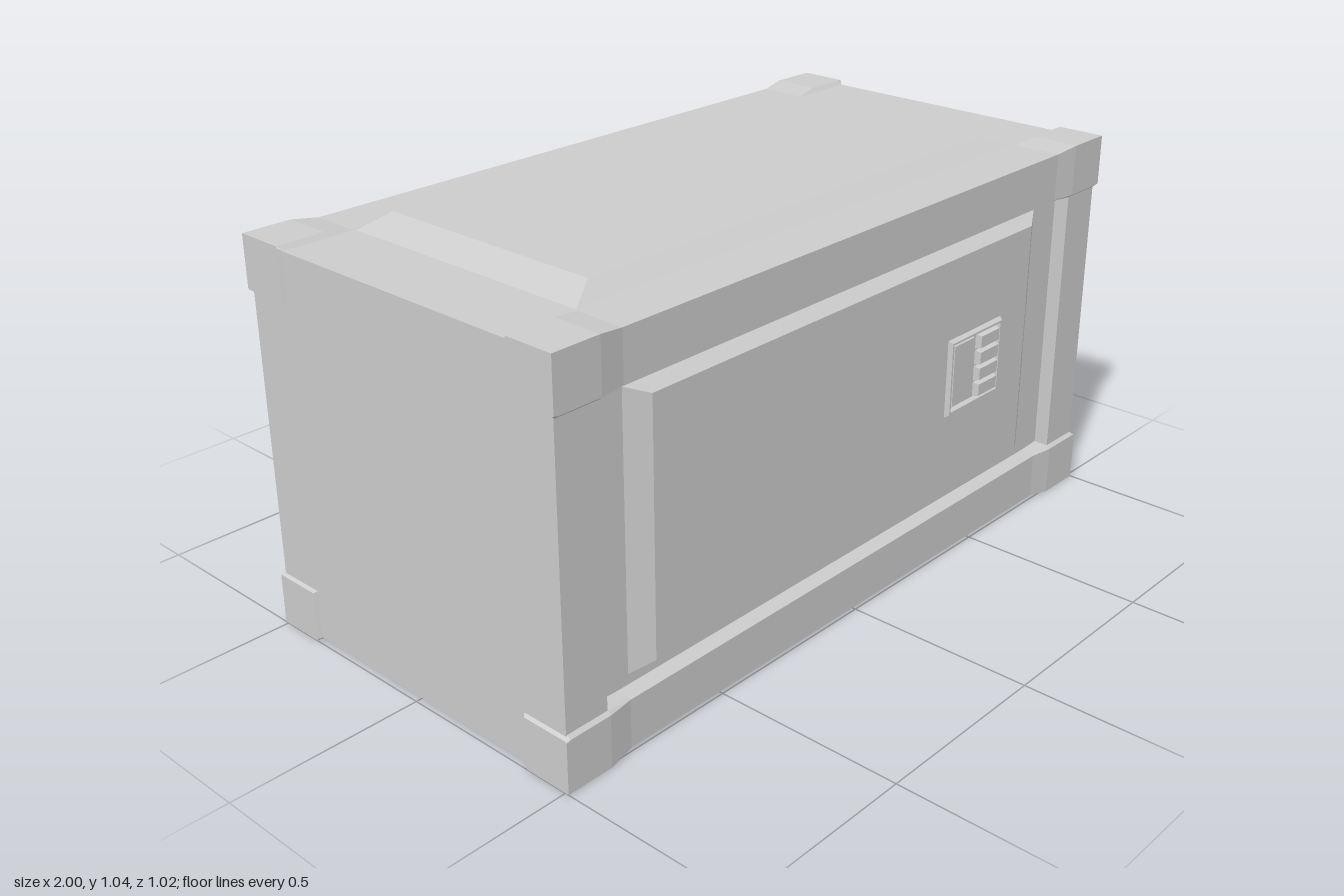
import * as THREE from 'three';

const grey = new THREE.MeshStandardMaterial({ color: 0xcccccc });
grey.name = 'grey metal';

// Skin a list of matching rings (counter-clockwise seen from the last ring) and cap both ends
function loft(rings) {
  const pos = [];
  const tri = (a, b, c) => pos.push(...a, ...b, ...c);
  const n = rings[0].length;
  for (let s = 0; s + 1 < rings.length; s++) {
    const a = rings[s], b = rings[s + 1];
    for (let i = 0; i < n; i++) {
      const j = (i + 1) % n;
      tri(a[i], a[j], b[j]);
      tri(a[i], b[j], b[i]);
    }
  }
  const first = rings[0], last = rings[rings.length - 1];
  for (let i = 1; i + 1 < n; i++) {
    tri(first[0], first[i + 1], first[i]);
    tri(last[0], last[i], last[i + 1]);
  }
  const g = new THREE.BufferGeometry();
  g.setAttribute('position', new THREE.Float32BufferAttribute(pos, 3));
  g.computeVertexNormals();
  return g;
}

// Rectangle ring in the xy plane
const rect = (x0, x1, y0, y1, z) => [[x0, y0, z], [x1, y0, z], [x1, y1, z], [x0, y1, z]];

// Rail profiles as [z, y]: end face, corner block and slimmer middle
const END = [[.51, 1.02], [.38, 1.02], [.377, 1.015], [.377, .885], [.505, .885], [.51, .888]];
const BLOCK = [[.51, 1.02], [.38, 1.02], [.367, 1.008], [.367, .877], [.5, .877], [.51, .885]];
const MIDDLE = [[.5, 1.01], [.37, 1.01], [.365, 1.005], [.365, .88], [.49, .88], [.5, .885]];

function railGeometry(top, sz) {
  const stations = [[-1, END], [-.988, BLOCK], [-.87, BLOCK], [-.8, MIDDLE],
    [.8, MIDDLE], [.87, BLOCK], [.988, BLOCK], [1, END]];
  return loft(stations.map(([x, profile]) => {
    const ring = profile.map(([z, y]) => [x, top ? y : 1.02 - y, z * sz]);
    return top === (sz > 0) ? ring.reverse() : ring;
  }));
}

export function createModel() {
  const model = new THREE.Group();
  model.name = 'container';
  const add = (name, geometry, parent = model) => {
    const m = new THREE.Mesh(geometry, grey);
    m.name = name;
    parent.add(m);
    return m;
  };
  const box = (name, x0, x1, y0, y1, z0, z1, parent) => {
    const m = add(name, new THREE.BoxGeometry(x1 - x0, y1 - y0, z1 - z0), parent);
    m.position.set((x0 + x1) / 2, (y0 + y1) / 2, (z0 + z1) / 2);
  };

  // Body with recessed long walls
  box('body', -.992, .992, .011, 1.009, -.46, .46);

  // Long edge rails with corner blocks, and upright posts
  for (const sz of [1, -1]) {
    const side = sz > 0 ? 'front' : 'back';
    add(side + 'TopRail', railGeometry(true, sz));
    add(side + 'BottomRail', railGeometry(false, sz));
    for (const sx of [1, -1]) {
      const x = [.87 * sx, .992 * sx].sort((a, b) => a - b);
      const z = [.46 * sz, .5 * sz].sort((a, b) => a - b);
      box(side + (sx > 0 ? 'Left' : 'Right') + 'Post', ...x, .12, .9, ...z);
    }
  }

  // Raised panel on the front wall
  add('frontPanel', loft([rect(-.77, .77, .165, .86, .458), rect(-.71, .71, .19, .835, .492)]));

  // Raised roof panel, drawn flat and then laid down
  const roof = loft([rect(-.8, .8, -.365, .365, 1.007), rect(-.71, .71, -.31, .335, 1.04)]);
  roof.rotateX(-Math.PI / 2);
  add('roofPanel', roof);

  // Control panel: bevelled frame, screen and four buttons
  const controls = new THREE.Group();
  controls.name = 'controlPanel';
  model.add(controls);
  const frame = (i, z) => rect(.355 + i, .59 - i, .405 + i, .62 - i, z);
  const bars = [[], [], [], []];
  [[0, .49], [.008, .503], [.014, .503], [.02, .493]].forEach(([i, z]) => {
    const o = frame(i, z);
    for (let k = 0; k < 4; k++) bars[k].push([o[k], o[(k + 1) % 4]]);
  });
  for (const b of bars) {
    // Each mitred bar runs between its two corner profiles
    add('frameBar', loft([b.map((p) => p[0]).reverse(), b.map((p) => p[1]).reverse()].reverse()
      .map((ring) => ring.reverse())), controls);
  }
  add('screen', loft([rect(.375, .468, .427, .602, .491), rect(.379, .464, .431, .598, .499)]), controls);
  for (let i = 0; i < 4; i++) {
    const y = .425 + i * .045;
    add('button', loft([rect(.48, .57, y, y + .04, .491), rect(.485, .565, y + .004, y + .036, .508)]), controls);
  }
  return model;
}
